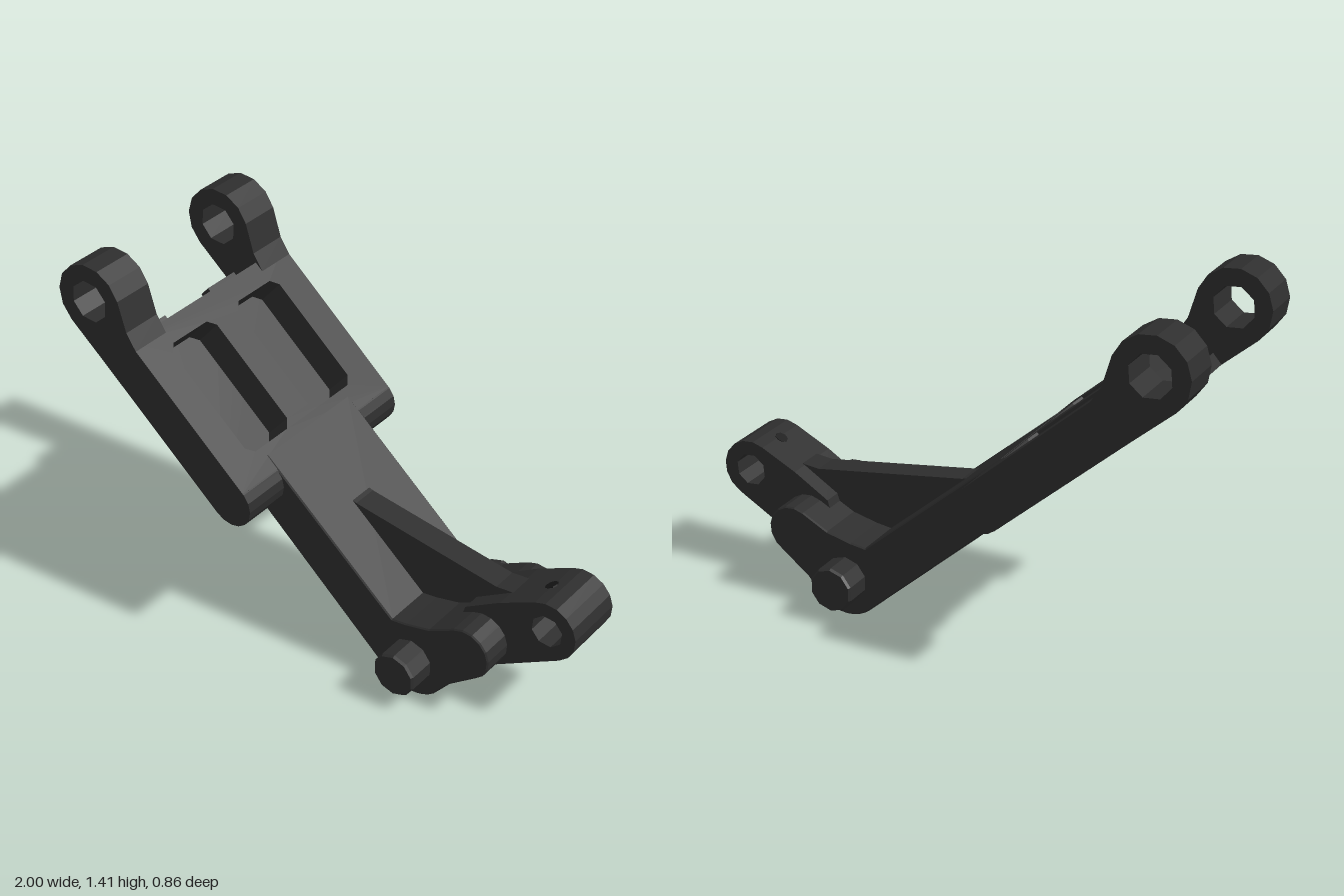
import * as THREE from 'three';

const mat = new THREE.MeshStandardMaterial({ color: 0x2e2e2e, flatShading: true });
const darkMat = new THREE.MeshStandardMaterial({ color: 0x151515, flatShading: true });

// Arm frame: s runs down the arm from the upper eye, t is across its thickness
const EYE = new THREE.Vector2(-0.86, 1.27);
const PIVOT = new THREE.Vector2(0.405, 0.152);
const D = PIVOT.clone().sub(EYE).normalize();
const N = new THREE.Vector2(-D.y, D.x);
const at = (s, t) => EYE.clone().addScaledVector(D, s).addScaledVector(N, t);
const armAngle = Math.atan2(D.y, D.x);

function polygon(points) {
  return new THREE.Shape(points.map(([x, y]) => new THREE.Vector2(x, y)));
}

function roundHole(x, y, r) {
  return new THREE.Path().absarc(x, y, r, 0.3, 0.3 + Math.PI * 2, false);
}

function add(group, name, geometry, material = mat) {
  const mesh = new THREE.Mesh(geometry, material);
  mesh.name = name;
  group.add(mesh);
  return mesh;
}

// Side profile extruded between two z values, with an optional slight chamfer
function slab(shape, z0, z1, bevel = 0) {
  const g = new THREE.ExtrudeGeometry(shape, {
    depth: z1 - z0 - 2 * bevel, bevelEnabled: bevel > 0, bevelThickness: bevel,
    bevelSize: bevel, bevelOffset: -bevel, bevelSegments: 1, curveSegments: 4,
  });
  return g.translate(0, 0, z0 + bevel);
}

// Plan outline (s, z) extruded through the arm thickness
function planLayer(shape, t0, t1) {
  const g = new THREE.ExtrudeGeometry(shape, { depth: t1 - t0, bevelEnabled: false });
  g.translate(0, 0, t0);
  const m = new THREE.Matrix4().makeBasis(
    new THREE.Vector3(D.x, D.y, 0), new THREE.Vector3(0, 0, -1), new THREE.Vector3(N.x, N.y, 0));
  m.setPosition(EYE.x, EYE.y, 0);
  return g.applyMatrix4(m);
}

function rodZ(x, y, r, length, sides) {
  return new THREE.CylinderGeometry(r, r, length, sides).rotateX(Math.PI / 2).translate(x, y, 0);
}

function cutCornerRect(s0, s1, z0, z1, c) {
  return polygon([[s0 + c, z0], [s1 - c, z0], [s1, z0 + c], [s1, z1 - c],
    [s1 - c, z1], [s0 + c, z1], [s0, z1 - c], [s0, z0 + c]]);
}

export function createModel() {
  const model = new THREE.Group();
  model.name = 'hingedBracket';

  // Wide plate: floor with a shallow end notch, and an upper layer with two pockets
  const plate = new THREE.Group();
  plate.name = 'widePlate';
  model.add(plate);
  const floor = polygon([[0.17, -0.28], [0.17, -0.12], [0.21, -0.12], [0.21, 0.12], [0.17, 0.12],
    [0.17, 0.28], [0.2, 0.28], [0.2, 0.43], [0.86, 0.43], [0.86, -0.43], [0.2, -0.43], [0.2, -0.28]]);
  add(plate, 'plateFloor', planLayer(floor, -0.14, -0.09));
  const top = polygon([[0.2, -0.43], [0.86, -0.43], [0.86, 0.43], [0.2, 0.43]]);
  top.holes.push(cutCornerRect(0.285, 0.765, 0.06, 0.3, 0.03));
  top.holes.push(cutCornerRect(0.285, 0.765, -0.3, -0.06, 0.03));
  add(plate, 'plateTop', planLayer(top, -0.09, 0.04));
  const end = at(0.86, -0.05);
  add(plate, 'plateRoundedEnd', rodZ(end.x, end.y, 0.09, 0.86, 16));

  // Fork ears with bored eyes at the upper end
  const fork = new THREE.Shape();
  const a = at(0.2, -0.14), b = at(0.24, 0.04), neck = at(0.17, 0.06);
  fork.moveTo(a.x, a.y);
  fork.lineTo(b.x, b.y);
  fork.lineTo(neck.x, neck.y);
  fork.absarc(EYE.x, EYE.y, 0.142, armAngle + 1.05, armAngle + Math.PI * 1.5, false);
  fork.holes.push(roundHole(EYE.x, EYE.y, 0.08));
  for (const [name, z] of [['leftForkEar', 0.27], ['rightForkEar', -0.43]]) {
    add(model, name, slab(fork, z, z + 0.16));
  }

  // Lower arm, bending round the pivot into the cheeks
  const arm = new THREE.Shape();
  const high = at(0.8, 0.042), low = at(0.8, -0.14), bend = at(1.53, 0.05);
  arm.moveTo(high.x, high.y);
  arm.lineTo(low.x, low.y);
  arm.absarc(PIVOT.x, PIVOT.y, 0.148, armAngle + Math.PI * 1.5, 5.44, false);
  arm.lineTo(0.57, 0.12);
  arm.absarc(0.63, 0.29, 0.1, -1.07, 2.07, false);
  arm.lineTo(0.48, 0.325);
  arm.lineTo(0.38, 0.302);
  arm.lineTo(bend.x, bend.y);
  add(model, 'lowerArm', slab(arm, -0.24, 0.24, 0.005));

  // Central lug with the front eye
  const lug = new THREE.Shape();
  lug.moveTo(0.46, 0.12);
  lug.lineTo(0.57, 0.125);
  lug.absarc(0.885, 0.438, 0.115, -1.07, 2.07, false);
  lug.lineTo(0.69, 0.47);
  lug.lineTo(0.55, 0.385);
  lug.holes.push(roundHole(0.885, 0.438, 0.063));
  add(model, 'frontLug', slab(lug, -0.12, 0.12));

  // Small set screw on top of the front eye
  const screw = add(model, 'setScrew', new THREE.CylinderGeometry(0.025, 0.025, 0.03, 8), darkMat);
  screw.position.set(0.829, 0.524, 0);
  screw.rotation.z = 0.5;

  // Thin stiffening web in the bend
  const web = polygon([[-0.03, 0.55], [0.3, 0.2], [0.6, 0.25], [0.72, 0.42], [0.7, 0.475],
    [0.63, 0.468], [0.02, 0.562], [-0.02, 0.575]]);
  add(model, 'stiffeningWeb', slab(web, -0.05, 0.05));

  // Pivot pin through the bend
  add(model, 'pivotPin', rodZ(PIVOT.x, PIVOT.y, 0.087, 0.68, 10));
  for (const side of [1, -1]) {
    const cap = new THREE.CylinderGeometry(0.081, 0.087, 0.01, 10).rotateX(Math.PI / 2);
    if (side < 0) cap.rotateY(Math.PI);
    cap.translate(PIVOT.x, PIVOT.y, side * 0.345);
    add(model, side > 0 ? 'leftPinEnd' : 'rightPinEnd', cap);
  }

  return model;
}
